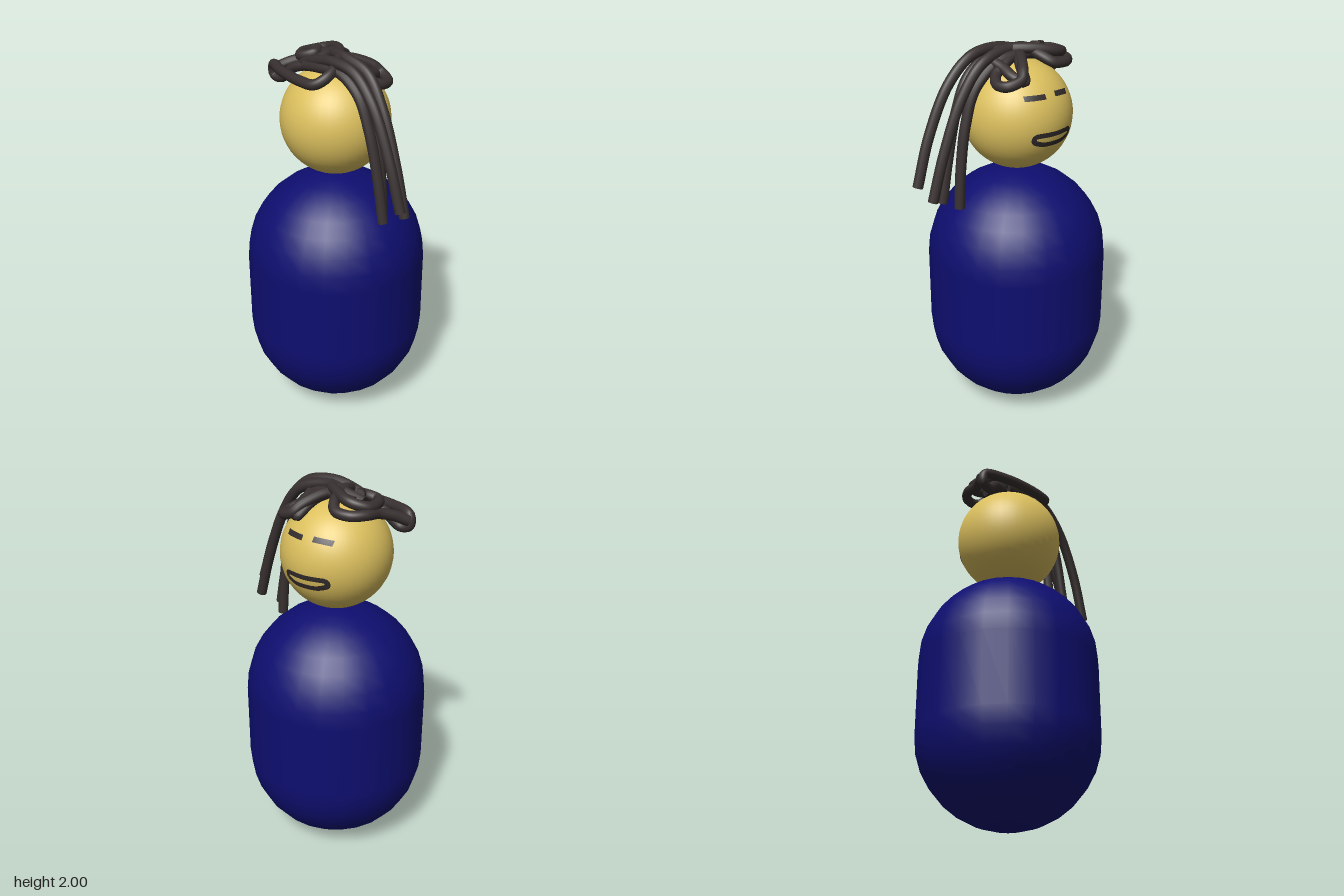
import * as THREE from 'three';

const HEAD = new THREE.Vector3(0, 1.635, -0.055);
const HEAD_R = 0.285;
const HAIR_R = 0.027;

const mat = (name, color, side = THREE.FrontSide) => {
  const m = new THREE.MeshStandardMaterial({ color, side });
  m.name = name;
  return m;
};

export function createModel() {
  const root = new THREE.Group();
  root.name = 'figure';
  const blue = mat('navy blue', 0x0e0e70);
  const skin = mat('yellow skin', 0xdcc05e);
  const dark = mat('dark brown', 0x383030);
  const ink = mat('face ink', 0x322b2b, THREE.DoubleSide);

  const add = (name, geometry, material, parent = root) => {
    const mesh = new THREE.Mesh(geometry, material);
    mesh.name = name;
    parent.add(mesh);
    return mesh;
  };

  // Capsule body and round head
  add('body', new THREE.CapsuleGeometry(0.477, 0.391, 8, 24), blue).position.set(0, 0.6725, HEAD.z);
  add('head', new THREE.SphereGeometry(HEAD_R, 40, 28), skin).position.copy(HEAD);

  // Painted line on the +x side of the head; points are [z, y]
  const paint = (name, pts, closed, halfWidth) => {
    const curve = new THREE.CatmullRomCurve3(pts.map(([z, y]) => new THREE.Vector3(0, y, z)), closed, 'catmullrom', 0.35);
    const n = 64, pos = [], nor = [], index = [];
    for (let i = 0; i <= n; i++) {
      const p = curve.getPointAt(i / n), t = curve.getTangentAt(i / n);
      for (const s of [1, 0, -1]) {
        const y = p.y - HEAD.y + s * t.z * halfWidth;
        const z = p.z - HEAD.z - s * t.y * halfWidth;
        const r = HEAD_R + 0.003;
        const v = new THREE.Vector3(Math.sqrt(r * r - y * y - z * z), y, z);
        pos.push(v.x + HEAD.x, y + HEAD.y, z + HEAD.z);
        v.normalize();
        nor.push(v.x, v.y, v.z);
      }
      if (i < n) for (const k of [0, 1]) {
        const a = i * 3 + k;
        index.push(a, a + 3, a + 1, a + 1, a + 3, a + 4);
      }
    }
    // Turn the faces outward
    const e = (i) => new THREE.Vector3().fromArray(pos, index[i] * 3);
    const face = e(1).sub(e(0)).cross(e(2).sub(e(0)));
    if (face.x < 0) index.reverse();
    const g = new THREE.BufferGeometry();
    g.setAttribute('position', new THREE.Float32BufferAttribute(pos, 3));
    g.setAttribute('normal', new THREE.Float32BufferAttribute(nor, 3));
    g.setIndex(index);
    add(name, g, ink);
  };
  paint('leftEye', [[-0.11, 1.782], [-0.16, 1.778], [-0.205, 1.772]], false, 0.012);
  paint('rightEye', [[0.06, 1.777], [0, 1.778], [-0.05, 1.778]], false, 0.012);
  paint('mouth', [[0.02, 1.592], [-0.085, 1.593], [-0.19, 1.592], [-0.195, 1.562],
    [-0.145, 1.544], [-0.085, 1.542], [-0.025, 1.544], [0.025, 1.562]], true, 0.013);

  // Rope-like hair
  const hair = new THREE.Group();
  hair.name = 'hair';
  root.add(hair);
  const strand = (name, pts) => {
    const curve = new THREE.CatmullRomCurve3(pts.map((p) => new THREE.Vector3(...p)));
    const group = new THREE.Group();
    group.name = name;
    hair.add(group);
    add('rope', new THREE.TubeGeometry(curve, pts.length * 10, HAIR_R, 12), dark, group);
    // Flat end caps
    for (const u of [0, 1]) {
      const cap = add('ropeEnd', new THREE.CircleGeometry(HAIR_R, 12), dark, group);
      const dir = curve.getTangentAt(u).multiplyScalar(u ? 1 : -1);
      cap.position.copy(curve.getPointAt(u));
      cap.quaternion.setFromUnitVectors(new THREE.Vector3(0, 0, 1), dir);
    }
  };

  // Four strands hanging down in front
  strand('outerRightStrand', [[-0.075, 1.9, -0.22], [-0.09, 1.94, -0.1], [-0.085, 1.965, 0.03], [-0.07, 1.94, 0.18],
    [-0.065, 1.82, 0.31], [-0.06, 1.58, 0.43], [-0.05, 1.33, 0.51]]);
  strand('outerLeftStrand', [[0.01, 1.93, -0.23], [0.015, 1.96, -0.1], [0, 1.97, 0], [0.02, 1.92, 0.17],
    [0.02, 1.77, 0.285], [0.02, 1.5, 0.395], [0.02, 1.265, 0.465]]);
  strand('innerRightStrand', [[-0.1, 1.9, -0.17], [-0.1, 1.92, -0.04], [-0.08, 1.92, 0.08], [-0.065, 1.84, 0.2],
    [-0.055, 1.68, 0.275], [-0.045, 1.44, 0.335], [-0.04, 1.22, 0.375]]);
  strand('innerLeftStrand', [[0.04, 1.93, -0.2], [0.03, 1.94, -0.05], [0.02, 1.92, 0.07], [0.01, 1.8, 0.2],
    [0.01, 1.63, 0.26], [0.012, 1.4, 0.295], [0.016, 1.195, 0.31]]);

  // Large loop winding over the crown and down the back
  strand('crownLoop', [[-0.06, 1.9, -0.13], [-0.1, 1.87, -0.26], [-0.13, 1.8, -0.345], [-0.14, 1.81, -0.39],
    [-0.145, 1.86, -0.385], [-0.19, 1.87, -0.25], [-0.21, 1.87, -0.07], [-0.195, 1.875, 0.035], [-0.14, 1.91, 0.065],
    [-0.03, 1.96, 0.01], [0.06, 1.97, -0.1], [0.1, 1.95, -0.22], [0.05, 1.93, -0.29],
    [-0.03, 1.93, -0.285], [-0.075, 1.93, -0.24], [-0.04, 1.95, -0.18], [0.01, 1.96, -0.2]]);
  strand('crownCurl', [[-0.1, 1.94, -0.08], [0, 1.965, -0.1], [0.1, 1.94, -0.125], [0.15, 1.91, -0.17],
    [0.14, 1.9, -0.25], [0.08, 1.9, -0.3], [0, 1.89, -0.31], [-0.07, 1.87, -0.35], [-0.125, 1.84, -0.395]]);

  // Small loops on the left side of the crown
  strand('sideLoop', [[0, 1.95, -0.06], [0.08, 1.94, -0.02], [0.17, 1.9, 0.03], [0.2, 1.865, 0.06],
    [0.185, 1.84, 0.13], [0.13, 1.84, 0.15], [0.07, 1.865, 0.12], [0.045, 1.91, 0.05], [0.02, 1.94, -0.02]]);
  strand('sideCurl', [[0.03, 1.95, -0.05], [0.1, 1.92, 0.0], [0.19, 1.85, 0.035], [0.14, 1.87, 0.07],
    [0.07, 1.9, 0.08], [0, 1.92, 0.1], [-0.07, 1.9, 0.12]]);

  return root;
}
